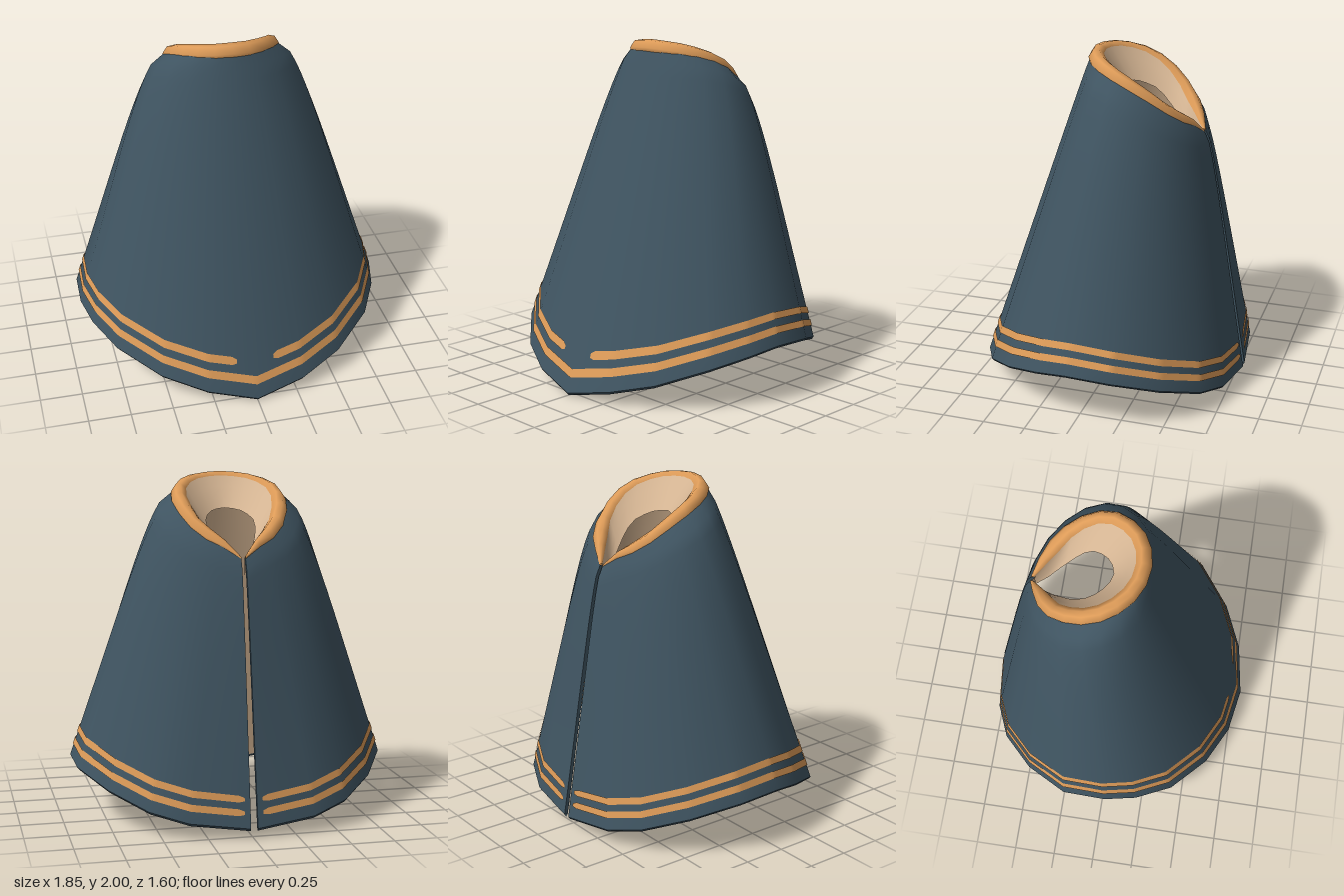
import * as THREE from 'three';

// Half outlines from centre front to the back slit, as [x, y, z]; the other half is mirrored.
const NECK = [
  [0, 1.96, 0.15], [0.1, 1.955, 0.135], [0.19, 1.945, 0.09], [0.26, 1.925, 0.02],
  [0.31, 1.895, -0.07], [0.325, 1.85, -0.17], [0.305, 1.79, -0.27], [0.26, 1.72, -0.36],
  [0.19, 1.66, -0.43], [0.1, 1.61, -0.48], [0.012, 1.54, -0.52],
];
const HEM = [
  [0, 0.015, 0.8], [0.29, 0.08, 0.75], [0.54, 0.15, 0.63], [0.77, 0.25, 0.43],
  [0.88, 0.305, 0.22], [0.925, 0.335, 0.03], [0.915, 0.32, -0.23], [0.77, 0.24, -0.48],
  [0.57, 0.155, -0.67], [0.36, 0.1, -0.76], [0.02, 0.06, -0.8],
];
const THROAT = [
  [0, 1.79, -0.045], [0.05, 1.785, -0.06], [0.09, 1.775, -0.09], [0.12, 1.755, -0.13],
  [0.14, 1.73, -0.18], [0.14, 1.69, -0.23], [0.125, 1.64, -0.28], [0.1, 1.59, -0.33],
  [0.075, 1.54, -0.38], [0.045, 1.49, -0.43], [0.012, 1.44, -0.5],
];
const N = 10;

const column = (table, j) => {
  const [x, y, z] = table[Math.abs(j)];
  return new THREE.Vector3(j < 0 ? -x : x, y, z);
};

// Horizontal direction away from the axis of the garment
const outward = (p, cz) => new THREE.Vector3(p.x, 0, p.z - cz).normalize();

// Cloth point: column j, t from neck (0) to hem (1), with rounded shoulders
function clothColumn(j, t) {
  const p = column(NECK, j).lerp(column(HEM, j), t);
  const a = (j / N) * Math.PI;
  const bulge = Math.sin(Math.PI * Math.pow(t, 0.4));
  p.x += 0.077 * Math.sin(a) * bulge;
  p.z -= 0.022 * Math.max(0, -Math.cos(a)) * bulge;
  return p;
}

// Cloth point at any u from -10 to 10, moved outward by offset
function cloth(u, t, offset = 0) {
  const j = Math.min(N - 1, Math.floor(u + 1e-6));
  const p = clothColumn(j, t).lerp(clothColumn(j + 1, t), u - j);
  return p.addScaledVector(outward(p, -0.17 * (1 - t)), offset);
}

// Surface from a grid of points fn(column, row)
function grid(cols, rows, fn) {
  const pos = [], index = [];
  for (let c = 0; c <= cols; c++) {
    for (let r = 0; r <= rows; r++) {
      const p = fn(c, r);
      pos.push(p.x, p.y, p.z);
      if (c < cols && r < rows) {
        const a = c * (rows + 1) + r, b = a + rows + 1;
        index.push(a, a + 1, b, b, a + 1, b + 1);
      }
    }
  }
  const g = new THREE.BufferGeometry();
  g.setAttribute('position', new THREE.Float32BufferAttribute(pos, 3));
  g.setIndex(index);
  g.computeVertexNormals();
  return g;
}

export function createModel() {
  const group = new THREE.Group();
  const material = (name, color) => {
    const m = new THREE.MeshStandardMaterial({ color, side: THREE.DoubleSide });
    m.name = name;
    return m;
  };
  const slate = material('slate cloth', 0x3f5461);
  const orange = material('orange trim', 0xdd9b58);
  const beige = material('beige lining', 0xd6b694);
  const add = (name, geometry, mat) => {
    const m = new THREE.Mesh(geometry, mat);
    m.name = name;
    group.add(m);
  };

  // Outer cloth and its lining
  const rows = 24, thick = -0.022;
  add('outerCloth', grid(2 * N, rows, (c, r) => cloth(c - N, r / rows)), slate);
  add('lining', grid(2 * N, rows, (c, r) => cloth(N - c, r / rows, thick)), beige);

  // Rounded hem edge
  add('hemEdge', grid(2 * N, 2, (c, r) => {
    const p = cloth(c - N, 1, thick * r / 2);
    if (r === 1) p.y -= 0.015;
    return p;
  }), slate);

  // Cloth edges along the back slit
  for (const s of [-1, 1]) {
    add(s > 0 ? 'leftSlitEdge' : 'rightSlitEdge',
      grid(1, rows, (c, r) => cloth(s * N, r / rows, c * thick)), slate);
  }

  // Collar band, thinning toward the slit
  const section = [[-0.03, -0.03], [0.004, -0.045], [0.014, -0.005], [-0.012, 0.035],
    [-0.045, 0.04], [-0.075, 0.015], [-0.075, -0.02], [-0.03, -0.03]];
  const taper = (j) => [1, 0.7, 0.2][Math.max(0, Math.abs(j) - 8)];
  const collarPoint = (j, k) => {
    const p = column(NECK, j), out = outward(p, -0.17);
    p.addScaledVector(out, section[k][0] * taper(j));
    p.y += section[k][1] * taper(j);
    return p;
  };
  add('collarBand', grid(2 * N, section.length - 1, (c, k) => collarPoint(c - N, k)), orange);

  // Facing that funnels down inside the collar
  add('collarFacing', grid(2 * N, 3, (c, r) =>
    collarPoint(N - c, 5).lerp(column(THROAT, N - c), r / 3)), beige);

  // Thin stripes above the hem
  const stripe = (name, u0, u1, t0, t1) => {
    const cols = Math.round((u1 - u0) * 10);
    add(name, grid(cols, 2, (c, r) => {
      const half = (t1 - t0) / 2 * (c === 0 || c === cols ? 0.5 : 1);
      return cloth(u0 + c / 10, (t0 + t1) / 2 + (r - 1) * half, 0.006);
    }), orange);
  };
  stripe('lowerStripe', -9.9, 9.9, 0.93, 0.955);
  stripe('leftUpperStripe', 0.4, 9.9, 0.88, 0.905);
  stripe('rightUpperStripe', -9.9, -0.4, 0.88, 0.905);

  return group;
}
